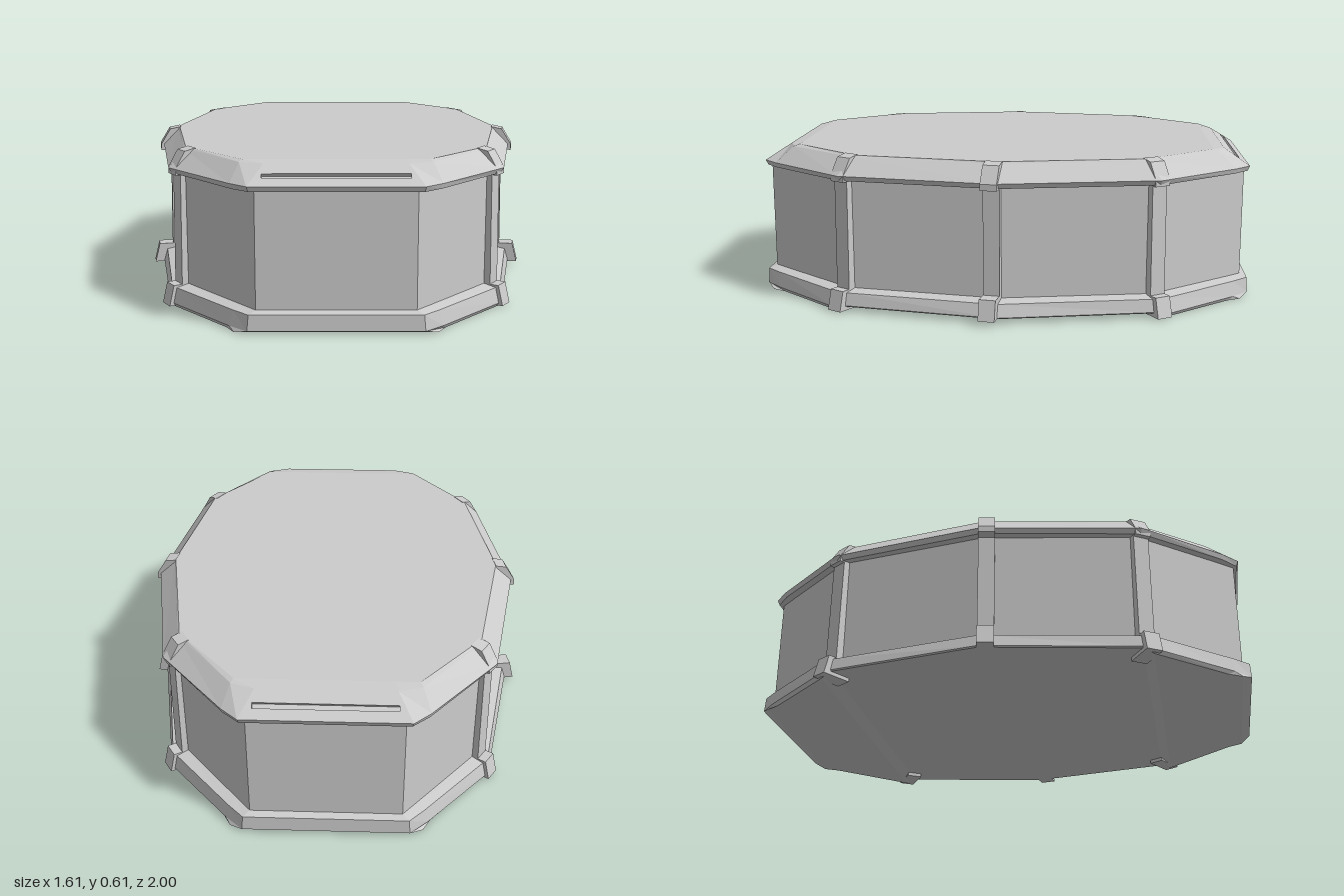
import * as THREE from 'three';

const material = new THREE.MeshStandardMaterial({ color: 0xcccccc, flatShading: true, side: THREE.DoubleSide });

// Mirror a quarter outline (points [x, y, z] from mid side to end) into a closed ring.
function ring(q) {
  const flip = (p, sx, sz) => [p[0] * sx, p[1], p[2] * sz];
  const r = [...q].reverse();
  return [
    ...q,
    ...r.map(p => flip(p, -1, 1)),
    ...q.slice(1).map(p => flip(p, -1, -1)),
    ...r.slice(0, -1).map(p => flip(p, 1, -1)),
  ];
}

// Quarter outline at one height.
const level = (y, pts) => pts.map(([x, z]) => [x, y, z]);

// Loft quarter outlines from bottom to top, with optional caps and end gaps.
function loft(name, quarters, { bottom = false, top = false, gapAt = -1 } = {}) {
  const pos = [];
  const quad = (a, b, c, d) => pos.push(...a, ...b, ...c, ...a, ...c, ...d);
  const rings = quarters.map(ring);
  const k = quarters[0].length;
  const n = rings[0].length;
  for (let j = 0; j < rings.length - 1; j++) {
    for (let i = 0; i < n; i++) {
      if (j === gapAt && (i === k - 1 || i === 3 * k - 2)) continue;
      const m = (i + 1) % n;
      quad(rings[j][i], rings[j + 1][i], rings[j + 1][m], rings[j][m]);
    }
  }
  // Caps are strips running across the width
  const cap = (q, up) => {
    const back = q.slice(1).map(p => [p[0], p[1], -p[2]]);
    const rows = [...[...q].reverse(), ...back];
    const left = p => [-p[0], p[1], p[2]];
    for (let i = 0; i < rows.length - 1; i++) {
      const a = rows[i], b = rows[i + 1];
      if (up) quad(a, b, left(b), left(a));
      else quad(left(a), left(b), b, a);
    }
  };
  if (bottom) cap(quarters[0], false);
  if (top) cap(quarters[quarters.length - 1], true);
  const g = new THREE.BufferGeometry();
  g.setAttribute('position', new THREE.Float32BufferAttribute(pos, 3));
  g.computeVertexNormals();
  const mesh = new THREE.Mesh(g, material);
  mesh.name = name;
  return mesh;
}

// Bracket with a foot, a slim upright and a clip over the lid; r = 0 is the foot's tip.
function bracket(name, x, z, angle, footY, inset) {
  const s = new THREE.Shape([
    [0, footY], [-0.02, footY + 0.08], [-inset, footY + 0.08], [-inset - 0.005, 0.515],
    [-0.04, 0.515], [-0.04, 0.54], [-0.08, 0.605], [-0.125, 0.614], [-0.125, footY],
  ].map(([r, y]) => new THREE.Vector2(r, y)));
  const g = new THREE.ExtrudeGeometry(s, { depth: 0.065, bevelEnabled: false });
  g.translate(0, 0, -0.0325);
  const mesh = new THREE.Mesh(g, material);
  mesh.position.set(x, 0, z);
  mesh.rotation.y = -angle;
  mesh.name = name;
  return mesh;
}

// Sloped lid end with a narrow recessed slot
function slotPanel(name) {
  const group = new THREE.Group();
  group.name = name;
  const rise = 0.065, run = 0.1, len = Math.hypot(rise, run);
  const rect = (w, a, w2, b) => [[-w, a], [w, a], [w2, b], [-w2, b]].map(p => new THREE.Vector2(...p));
  const s = new THREE.Shape(rect(0.315, 0, 0.26, len));
  s.holes.push(new THREE.Path(rect(0.265, 0.044, 0.265, 0.066).reverse()));
  const g = new THREE.ExtrudeGeometry(s, { depth: 0.014, bevelEnabled: false });
  g.translate(0, 0, -0.014);
  const panel = new THREE.Mesh(g, material);
  panel.name = 'slotSurround';
  const floor = new THREE.Mesh(new THREE.BoxGeometry(0.55, 0.035, 0.004), material);
  floor.position.set(0, 0.055, -0.016);
  floor.name = 'slotFloor';
  const tilt = new THREE.Group();
  tilt.add(panel, floor);
  tilt.position.set(0, 0.54, 0.99);
  tilt.rotation.x = -Math.atan2(run, rise);
  group.add(tilt);
  return group;
}

export function createModel() {
  const model = new THREE.Group();

  // Base tray: raised underside in the middle, chamfered ends
  const wall = [[0.70, 0], [0.602, 0.58], [0.59, 0.61], [0.345, 0.905], [0.29, 0.97]];
  model.add(loft('base', [
    [[0.76, 0.02, 0], [0.648, 0.02, 0.60], [0.635, 0, 0.64], [0.40, 0, 0.91], [0.37, 0, 0.965]],
    [[0.765, 0.025, 0], [0.652, 0.025, 0.60], [0.64, 0.015, 0.65], [0.39, 0.015, 0.935], [0.32, 0.015, 1]],
    level(0.075, [[0.75, 0], [0.642, 0.60], [0.63, 0.64], [0.375, 0.935], [0.315, 0.997]]),
    level(0.085, wall),
  ], { bottom: true }));

  // Upright body wall
  model.add(loft('bodyWall', [level(0.08, wall), level(0.53, wall)]));

  // Overhanging lid with bevelled rim
  model.add(loft('lid', [
    level(0.525, [[0.69, 0], [0.59, 0.60], [0.34, 0.90], [0.285, 0.96]]),
    level(0.52, [[0.74, 0], [0.63, 0.615], [0.375, 0.925], [0.31, 0.982]]),
    level(0.54, [[0.75, 0], [0.64, 0.62], [0.38, 0.93], [0.315, 0.99]]),
    level(0.605, [[0.685, 0], [0.587, 0.565], [0.35, 0.86], [0.26, 0.89]]),
    level(0.612, [[0.68, 0], [0.58, 0.56], [0.34, 0.84], [0.25, 0.84]]),
  ], { top: true, gapAt: 2 }));

  // Slotted lid ends
  const front = slotPanel('frontSlot');
  const back = slotPanel('backSlot');
  back.rotation.y = Math.PI;
  model.add(front, back);

  // Corner brackets and one bracket on each side
  for (const sx of [1, -1]) {
    const side = sx > 0 ? 'left' : 'right';
    const turn = a => (sx > 0 ? a : Math.PI - a);
    for (const sz of [1, -1]) {
      const end = sz > 0 ? 'Front' : 'Back';
      model.add(bracket(side + end + 'Bracket', sx * 0.66, sz * 0.645, turn(sz * 0.56), 0.005, 0.055));
    }
    model.add(bracket(side + 'MiddleBracket', sx * 0.797, 0.035, turn(0.18), 0.02, 0.078));
  }
  return model;
}
